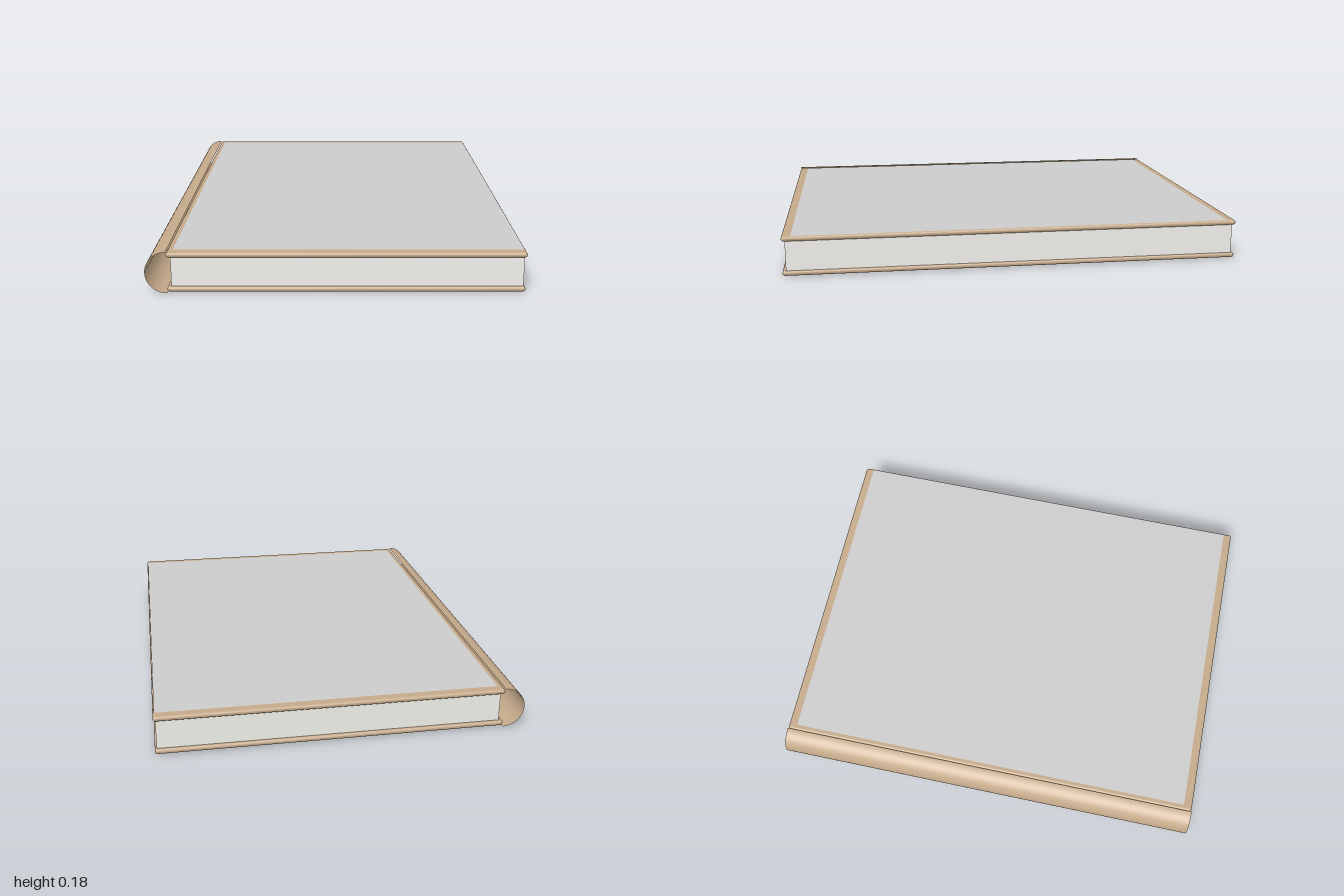
import * as THREE from 'three';
import { RoundedBoxGeometry } from 'three/addons/geometries/RoundedBoxGeometry.js';

const leather = new THREE.MeshStandardMaterial({ color: 0xc4a98a });
const leatherThin = new THREE.MeshStandardMaterial({ color: 0xc4a98a, side: THREE.DoubleSide });
const paper = new THREE.MeshStandardMaterial({ color: 0xf2f1ec });
const grey = new THREE.MeshStandardMaterial({ color: 0xcccccc, side: THREE.DoubleSide });

export function createModel() {
  const book = new THREE.Group();
  book.name = 'book';
  const add = (name, geometry, material, x, y, z = 0) => {
    const mesh = new THREE.Mesh(geometry, material);
    mesh.name = name;
    mesh.position.set(x, y, z);
    book.add(mesh);
    return mesh;
  };

  // Two hard covers with softly rounded edges
  const cover = new RoundedBoxGeometry(1.495, 0.022, 2, 4, 0.0105);
  add('bottomCover', cover, leather, 0.043, 0.015);
  add('topCover', cover, leather, 0.043, 0.166);

  // Page block, set in from the cover edges
  add('pages', new THREE.BoxGeometry(1.47, 0.134, 1.97), paper, 0.047, 0.0905);

  // Grey panel on the top cover, reaching the opening edge
  const panel = new THREE.PlaneGeometry(1.465, 1.92);
  panel.rotateX(-Math.PI / 2);
  add('coverPanel', panel, grey, 0.0525, 0.178);

  // Open rounded spine: a thin half tube bulging towards -x
  const r = 0.09;
  const spine = new THREE.CylinderGeometry(r, r, 2, 32, 1, true, Math.PI, Math.PI);
  spine.rotateX(Math.PI / 2);
  add('spine', spine, leatherThin, -0.705, r);

  return book;
}
